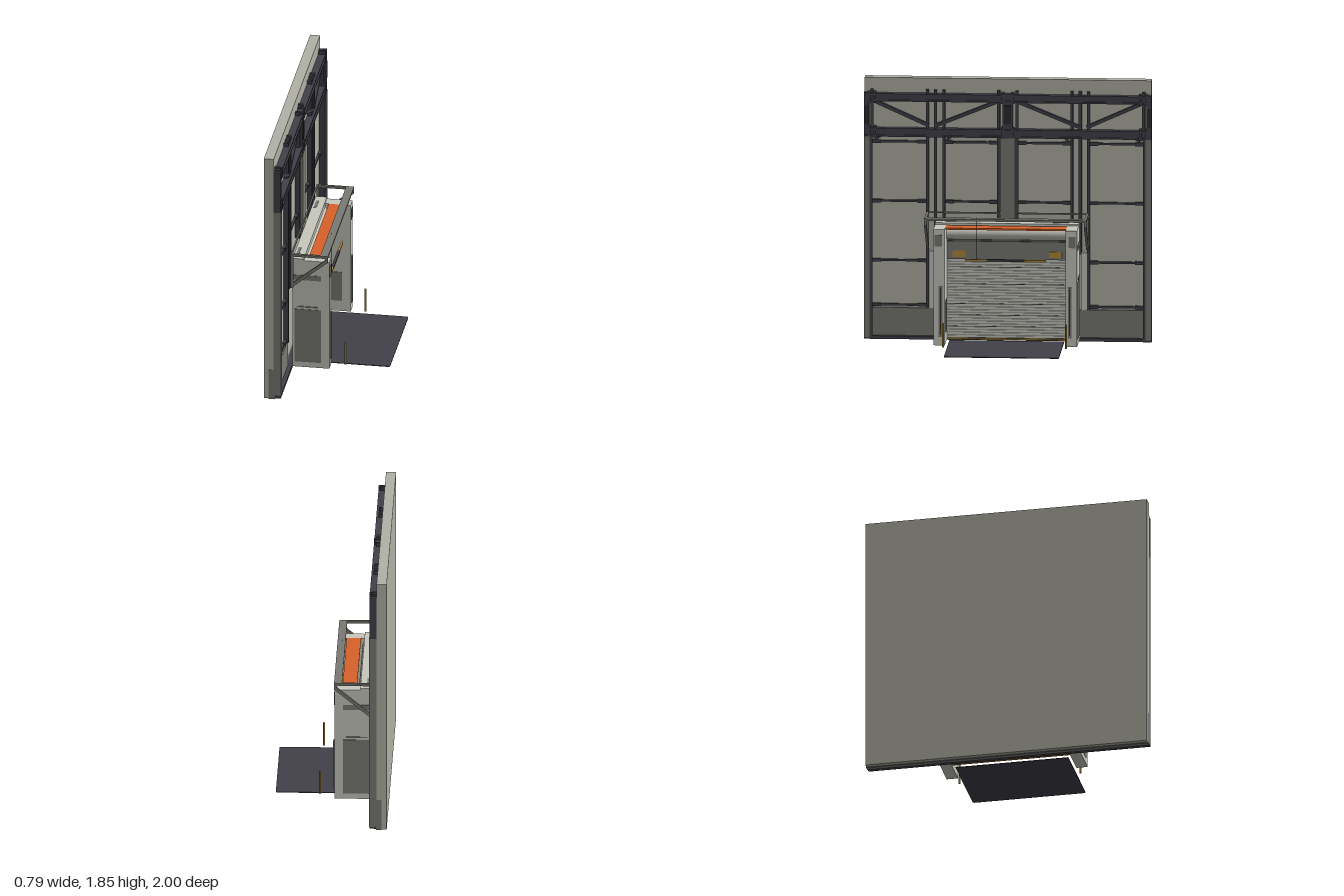
import * as THREE from 'three';

const mat = (name, color) => {
  const m = new THREE.MeshStandardMaterial({ color });
  m.name = name;
  return m;
};

export function createModel() {
  const root = new THREE.Group();
  root.name = 'wallWithShutterBooth';
  const wall = mat('wall grey', 0xb2b2a7);
  const white = mat('off white', 0xc8c8bf);
  const grey = mat('mid grey', 0x7a7b74);
  const dark = mat('dark steel', 0x42414a);
  const black = mat('black', 0x2a2a2c);
  const gold = mat('gold', 0xb08a38);
  const orange = mat('orange', 0xd9622a);

  // box from its limits along each axis
  const box = (name, m, x0, x1, y0, y1, z0, z1) => {
    const mesh = new THREE.Mesh(new THREE.BoxGeometry(x1 - x0, y1 - y0, z1 - z0), m);
    mesh.position.set((x0 + x1) / 2, (y0 + y1) / 2, (z0 + z1) / 2);
    mesh.name = name;
    root.add(mesh);
    return mesh;
  };
  // same box on both sides of z = 0
  const pair = (name, m, x0, x1, y0, y1, z0, z1) => {
    box(name + 'Left', m, x0, x1, y0, y1, z0, z1);
    box(name + 'Right', m, x0, x1, y0, y1, -z1, -z0);
  };
  // square bar between two points
  const bar = (name, m, a, b, w, h = w) => {
    const p = new THREE.Vector3(...a), q = new THREE.Vector3(...b);
    const mesh = new THREE.Mesh(new THREE.BoxGeometry(w, h, p.distanceTo(q)), m);
    mesh.position.copy(p).add(q).multiplyScalar(0.5);
    mesh.lookAt(q);
    mesh.name = name;
    root.add(mesh);
  };

  // wall slab, skirting and base rail
  box('wall', wall, -0.4, -0.33, 0.004, 1.85, -0.998, 0.998);
  pair('skirtingPanel', grey, -0.365, -0.31, 0.03, 0.225, 0.5, 1);
  box('baseRail', grey, -0.365, -0.325, 0, 0.03, -1, 1);
  box('baseRailFront', dark, -0.325, -0.28, 0.008, 0.03, -1, 1);

  // columns
  pair('endColumn', grey, -0.33, -0.278, 0.02, 1.44, 0.96, 1);
  pair('endColumnEdge', dark, -0.33, -0.285, 0.02, 1.44, 0.942, 0.96);
  box('centreColumn', grey, -0.33, -0.278, 0.8, 1.44, -0.053, 0.053);

  // wall studs: z, bottom, top
  for (const [z, y0, y1] of [[0.56, 0.23, 1.77], [0.503, 0.62, 1.77], [0.445, 0.6, 1.77], [0.064, 0.8, 1.77], [0.945, 1.44, 1.77]])
    pair('stud', dark, -0.33, -0.296, y0, y1, z - 0.01, z + 0.01);
  // cross rails and their thicker end clips
  const rail = (y, z0, z1) => {
    pair('crossRail', dark, -0.33, -0.315, y - 0.007, y + 0.007, z0, z1);
    pair('railClipInner', dark, -0.33, -0.308, y - 0.011, y + 0.011, z0, z0 + 0.06);
    pair('railClipOuter', dark, -0.33, -0.308, y - 0.011, y + 0.011, z1 - 0.06, z1);
  };
  for (const y of [0.245, 0.56, 0.98, 1.4]) rail(y, 0.57, 0.945);
  for (const y of [0.98, 1.4]) rail(y, 0.07, 0.44);
  // pale side guides beside the booth
  pair('sideGuide', white, -0.33, -0.305, 0.225, 0.63, 0.51, 0.55);

  // truss chords, each with two raised flanges
  for (const [y0, y1] of [[1.44, 1.5], [1.69, 1.745]]) {
    box('trussChord', dark, -0.33, -0.29, y0, y1, -1, 1);
    box('chordFlangeLow', dark, -0.33, -0.28, y0, y0 + 0.012, -1, 1);
    box('chordFlangeHigh', dark, -0.33, -0.28, y1 - 0.012, y1, -1, 1);
    // bolted joint plates
    for (const z of [0.035, 0.925, 0.965])
      pair('jointPlate', dark, -0.33, -0.279, y0 - 0.008, y1 + 0.012, z - 0.01, z + 0.01);
  }
  // truss posts, centre box and diagonals
  pair('trussEndPost', dark, -0.33, -0.282, 1.44, 1.75, 0.965, 1);
  pair('endPostPlate', black, -0.29, -0.279, 1.53, 1.66, 0.972, 0.995);
  box('trussCentrePost', dark, -0.33, -0.285, 1.44, 1.75, -0.035, 0.035);
  box('centrePostPlate', black, -0.29, -0.28, 1.54, 1.67, -0.025, 0.025);
  for (const s of [1, -1]) {
    bar('outerDiagonal', dark, [-0.305, 1.695, s * 0.94], [-0.305, 1.52, s * 0.55], 0.024);
    bar('innerDiagonal', dark, [-0.305, 1.52, s * 0.5], [-0.305, 1.695, s * 0.07], 0.024);
    bar('outerKnee', dark, [-0.315, 1.4, s * 0.94], [-0.315, 1.45, s * 0.87], 0.012);
    bar('innerKnee', dark, [-0.315, 1.4, s * 0.445], [-0.315, 1.45, s * 0.38], 0.012);
  }

  // booth side cabinets
  pair('cabinet', white, -0.28, -0.02, 0.02, 0.84, 0.42, 0.5);
  pair('cabinetVent', grey, -0.265, -0.08, 0.06, 0.465, 0.495, 0.503);
  pair('cabinetSlot', grey, -0.275, -0.08, 0.69, 0.727, 0.495, 0.503);
  pair('ventHandle', grey, -0.25, -0.1, 0.48, 0.488, 0.495, 0.505);
  pair('innerVent', grey, -0.2, -0.08, 0.1, 0.32, 0.416, 0.424);
  pair('frontLamp', grey, -0.025, -0.016, 0.72, 0.8, 0.44, 0.49);
  pair('frontPad', grey, -0.025, -0.012, 0.08, 0.44, 0.437, 0.462);
  pair('padEdge', black, -0.02, -0.009, 0.1, 0.43, 0.446, 0.453);

  // shutter hood with roller
  box('hood', white, -0.28, -0.2, 0.78, 0.852, -0.5, 0.5);
  const roller = new THREE.Mesh(new THREE.CylinderGeometry(0.05, 0.05, 0.84, 24), white);
  roller.rotation.x = Math.PI / 2;
  roller.position.set(-0.235, 0.78, 0);
  roller.name = 'roller';
  root.add(roller);
  pair('hoodTopSlot', grey, -0.265, -0.245, 0.848, 0.855, 0.32, 0.43);
  box('lintel', grey, -0.28, -0.235, 0.59, 0.77, -0.42, 0.42);
  box('lintelLip', dark, -0.24, -0.23, 0.715, 0.722, -0.42, 0.42);
  pair('lintelPlate', gold, -0.24, -0.231, 0.605, 0.65, 0.29, 0.38);

  // shutter: backing with slats
  box('shutterBack', grey, -0.275, -0.258, 0.03, 0.59, -0.42, 0.42);
  for (let i = 0; i < 28; i++) {
    const y = 0.032 + i * 0.02;
    box('slat', white, -0.26, -0.25, y, y + 0.0165, -0.42, 0.42);
  }
  for (const y of [0.11, 0.19, 0.27, 0.41, 0.53])
    box('slatSeam', dark, -0.255, -0.248, y, y + 0.004, -0.42, 0.42);
  box('thresholdStrip', gold, -0.25, -0.235, 0.02, 0.03, -0.42, 0.42);

  // orange canopy between the cabinets
  box('canopy', orange, -0.175, -0.075, 0.828, 0.84, -0.42, 0.42);

  // overhead guard frame
  box('guardBeam', grey, -0.075, -0.02, 0.9, 0.915, -0.565, 0.565);
  for (const s of [1, -1]) {
    const z = s * 0.556;
    bar('guardArm', grey, [-0.28, 0.906, z], [-0.02, 0.906, z], 0.018);
    bar('guardPost', grey, [-0.272, 0.66, z], [-0.272, 0.915, z], 0.018);
    bar('guardBrace', grey, [-0.272, 0.675, z], [-0.03, 0.875, z], 0.018, 0.022);
    bar('guardFront', grey, [-0.03, 0.865, z], [-0.03, 0.91, z], 0.018);
  }
  box('guardBackRail', grey, -0.282, -0.272, 0.905, 0.915, -0.565, 0.565);

  // hanging bar on thin cords
  box('hangingBar', gold, -0.065, -0.05, 0.61, 0.624, -0.28, 0.28);
  box('hangingBarGrip', dark, -0.067, -0.048, 0.612, 0.626, -0.13, 0.13);
  box('cord', black, -0.054, -0.05, 0.62, 0.92, 0.198, 0.202);

  // floor mat with rounded corners
  const w = 0.59, d = 0.8, r = 0.015;
  const s = new THREE.Shape();
  s.moveTo(0, 0).lineTo(w - r, 0).quadraticCurveTo(w, 0, w, r).lineTo(w, d - r)
    .quadraticCurveTo(w, d, w - r, d).lineTo(0, d);
  const floor = new THREE.Mesh(new THREE.ExtrudeGeometry(s, { depth: 0.005, bevelEnabled: false }), dark);
  floor.rotation.x = -Math.PI / 2;
  floor.position.set(-0.2, 0.017, 0.4);
  floor.name = 'floorMat';
  root.add(floor);

  // gold marker posts
  for (const z of [0.427, -0.43]) {
    const post = new THREE.Mesh(new THREE.CylinderGeometry(0.007, 0.007, 0.17, 12), gold);
    post.position.set(0.082, 0.112, z);
    post.name = 'markerPost';
    root.add(post);
  }
  return root;
}
